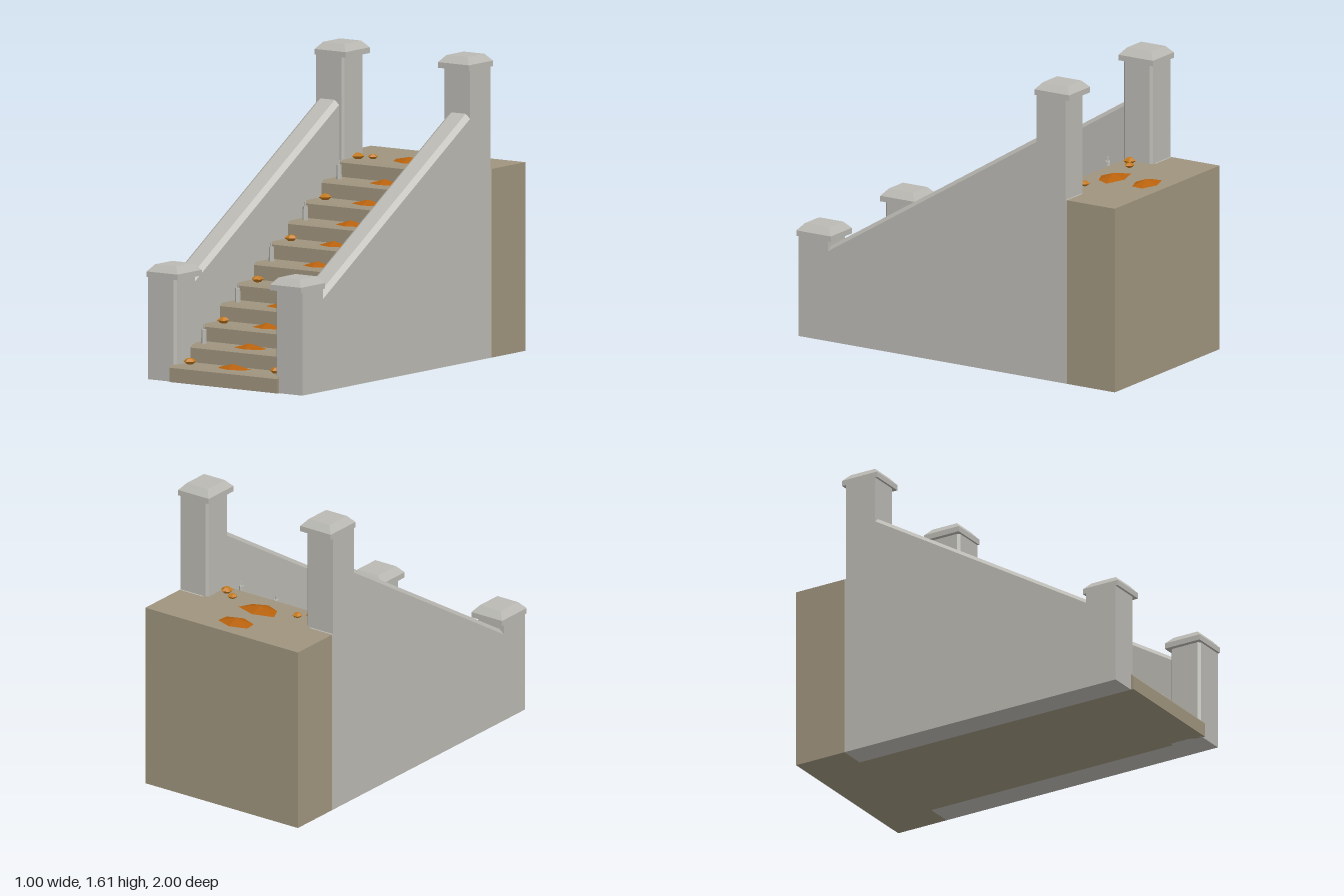
import * as THREE from 'three';

const stone = new THREE.MeshStandardMaterial({ name: 'greyStone', color: 0xbab9b3 });
const sand = new THREE.MeshStandardMaterial({ name: 'tanStone', color: 0x9f947e });
const leaf = new THREE.MeshStandardMaterial({ name: 'leafOrange', color: 0xb8610c });
const gourd = new THREE.MeshStandardMaterial({ name: 'gourdOrange', color: 0xc47a1c });
for (const m of [stone, sand, leaf, gourd]) m.flatShading = true;

const LEVELS = 11, RISE = 1 / LEVELS, RUN = 0.1503, BEVEL = 0.015;

function add(parent, name, geometry, material, x = 0, y = 0, z = 0) {
  const mesh = new THREE.Mesh(geometry, material);
  mesh.name = name;
  mesh.position.set(x, y, z);
  parent.add(mesh);
  return mesh;
}

const shapeOf = (pts) => new THREE.Shape(pts.map(([a, b]) => new THREE.Vector2(a, b)));
const extrude = (pts, depth) =>
  new THREE.ExtrudeGeometry(shapeOf(pts), { depth, bevelEnabled: false });

// Side profile given as (z, y), extruded across x and centred on x = 0
const sideProfile = (pts, width) =>
  extrude(pts, width).rotateY(-Math.PI / 2).translate(width / 2, 0, 0);

// Moves the vertices of a geometry by a rule
function reshape(geometry, rule) {
  const p = geometry.attributes.position, v = new THREE.Vector3();
  for (let i = 0; i < p.count; i++) {
    rule(v.fromBufferAttribute(p, i));
    p.setXYZ(i, v.x, v.y, v.z);
  }
  geometry.computeVertexNormals();
  return geometry;
}

// Square post with its two inner (-x) corners cut off
function postGeometry(height, halfDepth) {
  const c = 0.013, h = 0.0885, d = halfDepth;
  const pts = [[h, -d], [h, d], [-h + c, d], [-h, d - c], [-h, -d + c], [-h + c, -d]];
  return extrude(pts, height).rotateX(-Math.PI / 2);
}

// Post with a slab and a tapered top
function addPost(parent, name, side, z, capZ, bottom, top, halfDepth) {
  const post = new THREE.Group();
  post.name = name;
  parent.add(post);
  const shaft = add(post, 'postShaft', postGeometry(top - bottom, halfDepth), stone,
    side * 0.4115, bottom, z);
  if (side < 0) shaft.rotation.y = Math.PI;
  add(post, 'capSlab', new THREE.BoxGeometry(0.2, 0.03, 0.216), stone, side * 0.4, top + 0.015, capZ);
  const taper = reshape(new THREE.BoxGeometry(0.2, 0.037, 0.216), (v) => {
    if (v.y > 0) { v.x *= 0.068 / 0.1; v.z *= 0.076 / 0.108; }
  });
  add(post, 'capTop', taper, stone, side * 0.4, top + 0.0485, capZ);
}

// Low six-sided heap of leaves; the front corners may be narrower than the back ones
function heapGeometry(halfWidth, halfDepth, frontRatio) {
  return reshape(new THREE.ConeGeometry(1, 0.025, 6).toNonIndexed(), (v) => {
    if (v.z > 0.1) v.x *= frontRatio;
    v.x *= halfWidth / 0.866;
    v.z *= halfDepth;
  }).translate(0, 0.0125, 0);
}

export function createModel() {
  const model = new THREE.Group();
  model.name = 'stoneStaircase';

  // Stepped block with bevelled nosings
  const profile = [[-0.7, 0], [1, 0]];
  for (let k = 0; k < LEVELS; k++) {
    const z = 1 - k * RUN, y = (k + 1) * RISE;
    if (k > 0) profile.push([z, y - RISE]);
    profile.push([z, y - BEVEL], [z - BEVEL, y]);
  }
  profile.push([-0.7, 1]);
  add(model, 'steps', sideProfile(profile, 0.7), sand);

  // Upper landing
  add(model, 'landing', new THREE.BoxGeometry(1, 1, 0.3), sand, 0, 0.5, -0.85);

  // Side walls, sloping rails and posts
  const wallProfile = [[-0.7, 0], [0.8, 0], [0.8, 0.49], [-0.51, 1.289], [-0.51, 1], [-0.7, 1]];
  const railSection = [[-0.075, 0], [0.075, 0], [0.046, 0.024], [-0.046, 0.024]];
  for (const side of [1, -1]) {
    const balustrade = new THREE.Group();
    balustrade.name = side > 0 ? 'leftBalustrade' : 'rightBalustrade';
    model.add(balustrade);
    add(balustrade, 'wall', sideProfile(wallProfile, 0.15), stone, side * 0.425);
    const rail = reshape(extrude(railSection, 1.31), (v) => { v.y -= v.z * 0.61; });
    add(balustrade, 'rail', rail, stone, side * 0.425, 1.289, -0.51);
    addPost(balustrade, 'frontPost', side, 0.8925, 0.89, 0, 0.543, 0.0925);
    addPost(balustrade, 'backPost', side, -0.6, -0.605, 0.9, 1.543, 0.091);
  }

  // Leaf heaps from the bottom step upward: z, half width, half depth, front ratio
  const heaps = [
    [0.915, 0.1, 0.05, 0.8], [0.765, 0.09, 0.055, 0.95], [0.61, 0.085, 0.055, 0.9],
    [0.465, 0.1, 0.056, 0.95], [0.32, 0.1, 0.058, 0.85], [0.165, 0.08, 0.055, 0.95],
    [0.02, 0.085, 0.052, 0.9], [-0.13, 0.085, 0.058, 0.9], [-0.285, 0.1, 0.053, 0.85],
    [-0.435, 0.086, 0.055, 0.95], [-0.66, 0.117, 0.073, 0.7], [-0.87, 0.095, 0.066, 0.93],
  ];
  heaps.forEach(([z, w, d, ratio], i) => {
    const y = Math.min(i + 1, LEVELS) * RISE;
    add(model, 'leafHeap', heapGeometry(w, d, ratio), leaf, 0, y, z);
  });

  // Small five-sided gourds and slim candles on alternate steps
  const gourdGeo = new THREE.LatheGeometry(
    [[0, 0], [0.017, 0], [0.035, 0.016], [0.017, 0.03], [0, 0.033]].map(([r, y]) => new THREE.Vector2(r, y)), 5);
  const candleGeo = new THREE.CylinderGeometry(0.013, 0.015, 0.076, 6).translate(0, 0.038, 0);
  const wickGeo = new THREE.CylinderGeometry(0.004, 0.004, 0.024, 6).translate(0, 0.088, 0);
  for (const side of [1, -1]) {
    for (let k = 1; k < LEVELS; k++) {
      const y = k * RISE, z = 0.915 - (k - 1) * RUN;
      if (k % 2) {
        add(model, 'gourd', gourdGeo, gourd, side * 0.28, y, z).rotation.y = side * (0.3 + k);
      } else {
        add(model, 'candle', candleGeo, stone, side * 0.295, y, z + 0.005);
        add(model, 'wick', wickGeo, stone, side * 0.295, y, z + 0.005);
      }
    }
    add(model, 'gourd', gourdGeo, gourd, side * 0.28, 1, -0.58).rotation.y = side * 0.4;
    add(model, 'gourd', gourdGeo, gourd, side * 0.213, 1, -0.622).scale.set(0.8, 0.8, 0.8);
  }
  return model;
}
